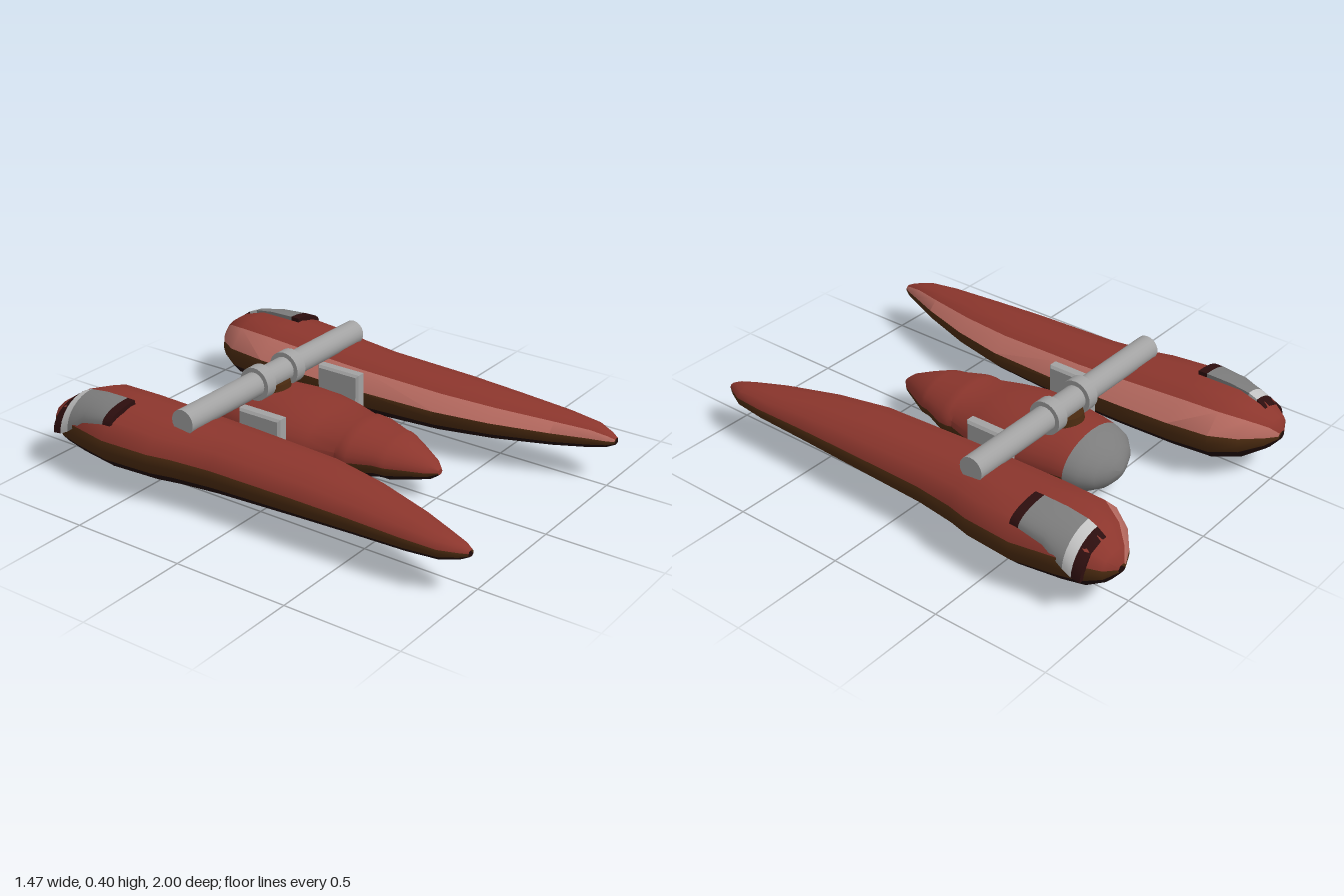
import * as THREE from 'three';
import { toCreasedNormals } from 'three/addons/utils/BufferGeometryUtils.js';

const mat = (name, color, extra = {}) => {
  const m = new THREE.MeshStandardMaterial({ color, ...extra });
  m.name = name;
  return m;
};

// Skin closed cross-sections ordered front (+z) to back, each counterclockwise seen from the front.
// columnMaterial(j) picks the material index of each lengthwise strip.
function loft(sections, columnMaterial, flip = false, crease = 0.7) {
  const n = sections[0].length, pos = [], buckets = [];
  sections.forEach(s => s.forEach(p => pos.push(...p)));
  const tri = (m, a, b, c) => (buckets[m] ??= []).push(...(flip ? [a, c, b] : [a, b, c]));
  for (let i = 0; i < sections.length - 1; i++) {
    for (let j = 0; j < n; j++) {
      const k = (j + 1) % n, a = i * n + j, b = i * n + k, c = a + n, d = b + n;
      tri(columnMaterial(j), a, c, b);
      tri(columnMaterial(j), b, c, d);
    }
  }
  // end caps, split between the middle of each half so thin arches also close
  const last = (sections.length - 1) * n;
  for (let j = 0; j < n / 2 - 1; j++) {
    const q = [j, j + 1, n - 2 - j, n - 1 - j], m = columnMaterial(j);
    tri(m, q[0], q[1], q[2]);
    tri(m, q[0], q[2], q[3]);
    tri(m, last + q[0], last + q[2], last + q[1]);
    tri(m, last + q[0], last + q[3], last + q[2]);
  }
  const g = new THREE.BufferGeometry(), index = [];
  g.setAttribute('position', new THREE.Float32BufferAttribute(pos, 3));
  buckets.forEach((b, m) => {
    g.addGroup(index.length, b.length, m);
    index.push(...b);
  });
  g.setIndex(index);
  return toCreasedNormals(g, crease);
}

// Side hull stations: z, inner x, outer x, bottom y, top y
const HULL = [
  [1.0, 0.54, 0.575, 0.163, 0.19], [0.97, 0.52, 0.595, 0.148, 0.205], [0.9, 0.49, 0.63, 0.133, 0.223],
  [0.76, 0.43, 0.645, 0.12, 0.242], [0.52, 0.35, 0.652, 0.105, 0.265], [0.28, 0.3, 0.66, 0.092, 0.282],
  [-0.12, 0.287, 0.667, 0.072, 0.296], [-0.3, 0.284, 0.69, 0.067, 0.304], [-0.4, 0.282, 0.716, 0.066, 0.31],
  [-0.62, 0.286, 0.735, 0.066, 0.32], [-0.8, 0.305, 0.705, 0.072, 0.322], [-0.9, 0.375, 0.68, 0.09, 0.292],
  [-0.97, 0.465, 0.635, 0.13, 0.245], [-1.0, 0.53, 0.575, 0.165, 0.2],
];
// Hull outline (inner to outer, bottom to top), counterclockwise from the inner shoulder
const OUTLINE = [
  [0.01, 0.6], [0, 0.45], [0.04, 0.27], [0.15, 0.08], [0.35, 0], [0.65, 0], [0.85, 0.08],
  [0.96, 0.27], [1, 0.45], [0.99, 0.62], [0.88, 0.88], [0.65, 1], [0.4, 1], [0.2, 0.9],
];
const hullColumn = j => (j < 2 ? 1 : j < 7 ? 2 : j < 9 ? 1 : j < 13 ? 0 : 3);

// Centre pod stations: z, half width, bottom y, top y
const POD = [
  [0.515, 0.015, 0.11, 0.135], [0.48, 0.05, 0.085, 0.165], [0.4, 0.095, 0.065, 0.2],
  [0.33, 0.133, 0.048, 0.226], [0.305, 0.143, 0.052, 0.23], [0.28, 0.146, 0.05, 0.232],
  [0.18, 0.185, 0.025, 0.252], [0.14, 0.186, 0.02, 0.256], [0.12, 0.178, 0.023, 0.252],
  [0, 0.215, 0.007, 0.27], [-0.1, 0.238, 0, 0.28], [-0.2, 0.235, 0, 0.285],
  [-0.4, 0.204, 0.01, 0.28], [-0.46, 0.195, 0.02, 0.27],
];
const DOME = [
  [-0.46, 0.195, 0.02, 0.27], [-0.52, 0.173, 0.036, 0.25], [-0.565, 0.125, 0.058, 0.215],
  [-0.59, 0.07, 0.085, 0.18], [-0.61, 0.012, 0.125, 0.145],
];
const POD_SIDES = 28;
const ellipse = ([z, w, lo, hi]) => Array.from({ length: POD_SIDES }, (_, j) => {
  const t = (j / POD_SIDES) * Math.PI * 2;
  return [w * Math.cos(t), (lo + hi) / 2 + ((hi - lo) / 2) * Math.sin(t), z];
});
const podColumn = j => {
  const s = Math.sin(((j + 0.5) / POD_SIDES) * Math.PI * 2);
  return s > 0 ? 0 : s > -0.4 ? 1 : 2;
};

// Rear cover stations: z, lower outer y, top y
const COVER = [
  [-0.6, 0.28, 0.337], [-0.64, 0.278, 0.338], [-0.75, 0.255, 0.336],
  [-0.84, 0.19, 0.324], [-0.88, 0.17, 0.308], [-0.92, 0.165, 0.28],
];
function coverSection([z, lo, hi], side) {
  const outer = [], inner = [];
  for (let i = 0; i <= 8; i++) {
    const t = (i / 8) * Math.PI / 2, c = Math.cos(t), s = Math.sin(t);
    outer.push([side * (0.545 + 0.155 * s), lo + (hi - lo) * c, z]);
    inner.push([side * (0.545 + 0.135 * s), lo + (hi - lo - 0.025) * c, z]);
  }
  return [...outer.reverse(), ...inner];
}

export function createModel() {
  const red = mat('red', 0x8c362d), brown = mat('brown', 0x4a2a10), dark = mat('darkUnderside', 0x1f0b09);
  const pink = mat('lightRed', 0xb5695f), grey = mat('grey', 0x7c7c7c);
  const lightGrey = mat('lightGrey', 0xa2a2a2), pale = mat('paleGrey', 0xc2c2c2);
  const trim = mat('darkTrim', 0x2c0e0e);
  const model = new THREE.Group();
  const add = (name, geometry, material, x = 0, y = 0, z = 0) => {
    const mesh = new THREE.Mesh(geometry, material);
    mesh.name = name;
    mesh.position.set(x, y, z);
    model.add(mesh);
    return mesh;
  };

  // Centre pod with grey tail dome
  add('centrePod', loft(POD.map(ellipse), podColumn), [red, brown, dark]);
  add('tailDome', loft(DOME.map(ellipse), () => 0), grey);

  // Mount under the cross tube
  const mount = add('tubeMount', new THREE.CylinderGeometry(0.075, 0.085, 0.06, 20), brown, 0, 0.277, -0.325);
  mount.scale.z = 1.02;

  // Cross tube and collars
  const tube = (name, r, length, material, x) => {
    add(name, new THREE.CylinderGeometry(r, r, length, 24), material, x, 0.33, -0.32).rotation.z = Math.PI / 2;
  };
  tube('crossTube', 0.053, 1.16, lightGrey, 0);

  for (const side of [1, -1]) {
    const label = side > 0 ? 'left' : 'right';
    tube(label + 'Collar', 0.073, 0.055, lightGrey, side * 0.1);

    // Side hull
    const sections = HULL.map(([z, a, b, lo, hi]) =>
      OUTLINE.map(([u, v]) => [side * (a + (b - a) * u), lo + (hi - lo) * v, z]));
    add(label + 'Hull', loft(sections, hullColumn, side < 0), [red, brown, dark, pink]);

    // Strut joining pod and hull, with bevelled edges
    const plate = new THREE.Shape();
    plate.moveTo(-0.095, -0.085).lineTo(0.095, -0.085).lineTo(0.095, 0.085).lineTo(-0.095, 0.085);
    const strut = new THREE.ExtrudeGeometry(plate, {
      depth: 0.036, bevelSize: 0.01, bevelThickness: 0.01, bevelSegments: 1,
    });
    strut.translate(0, 0, -0.018);
    add(label + 'Strut', strut, lightGrey, side * 0.27, 0.205, -0.165).rotation.y = Math.PI / 2;

    // Banded cover on the outer rear of the hull
    const rows = COVER.map(r => coverSection(r, side));
    const band = (name, from, to, material) =>
      add(label + name, loft(rows.slice(from, to + 1), () => 0, side < 0), material);
    band('CoverFrontTrim', 0, 1, trim);
    band('CoverPanel', 1, 3, grey);
    band('CoverBand', 3, 4, pale);
    band('CoverRearTrim', 4, 5, trim);
  }
  return model;
}
